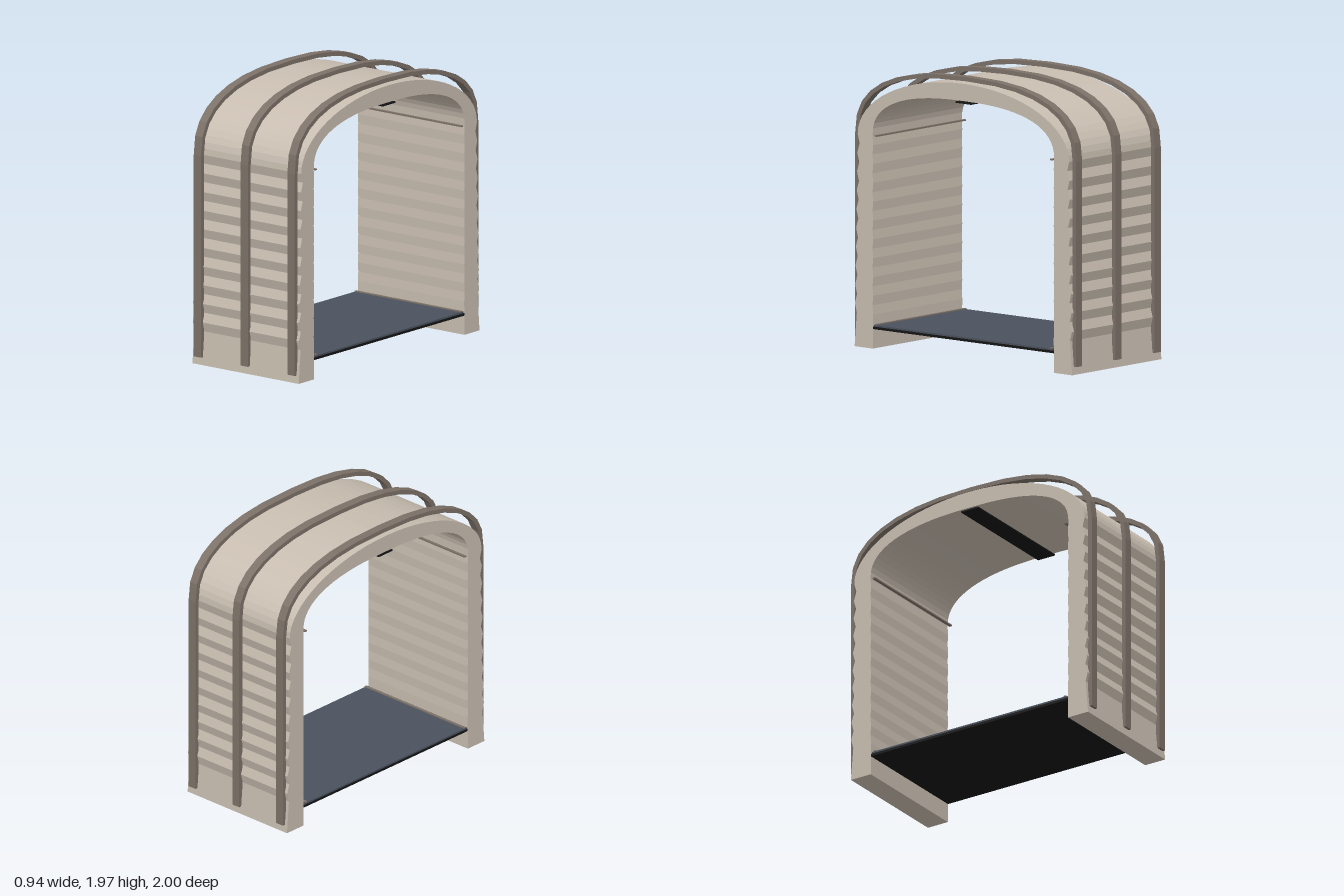
import * as THREE from 'three';

const SPRING = 1.48; // height where the walls turn into the arch
const LENGTH = 0.94;

const material = (name, color) => new THREE.MeshStandardMaterial({ name, color, flatShading: true });

// Half of a superellipse arch, from +half round to -half
function arch(half, rise, exponent, segments) {
  const points = [];
  for (let i = 0; i <= segments; i++) {
    const t = (Math.PI * i) / segments;
    const c = Math.cos(t), s = Math.max(0, Math.sin(t));
    points.push(new THREE.Vector2(
      Math.sign(c) * half * Math.abs(c) ** (2 / exponent),
      SPRING + rise * s ** (2 / exponent)));
  }
  return points;
}

const mirror = (points) => points.map((p) => new THREE.Vector2(-p.x, p.y)).reverse();

// Wall line running upwards, with shallow ridges
function ridgedWall(bottom, low, top, depth) {
  const points = [new THREE.Vector2(bottom, 0)];
  const pitch = 0.131, count = 10;
  for (let k = count - 1; k >= 0; k--) {
    const y = SPRING - k * pitch;
    const z = THREE.MathUtils.lerp(top, low, k / (count - 1));
    points.push(new THREE.Vector2(z - depth, y - pitch / 2), new THREE.Vector2(z, y));
  }
  return points;
}

// Full outline: up one wall, over the arch, down the other wall
const outline = (wall, curve) => [...wall, ...curve.slice(1, -1), ...mirror(wall)];

// Closed section between two outlines, extruded along x
function sectionMesh(name, outer, inner, width, mat) {
  const shape = new THREE.Shape([...outer, ...inner.slice().reverse()]);
  const geometry = new THREE.ExtrudeGeometry(shape, { depth: width, bevelEnabled: false });
  geometry.translate(0, 0, -width / 2).rotateY(Math.PI / 2);
  const mesh = new THREE.Mesh(geometry, mat);
  mesh.name = name;
  return mesh;
}

export function createModel() {
  const group = new THREE.Group();
  group.name = 'archedTunnel';
  const shellMat = material('warm stone', 0xc8bdb0);
  const ribMat = material('taupe metal', 0x7c7168);
  const deckMat = material('slate floor', 0x4a515d);
  const blackMat = material('black', 0x151515);

  // Thick arched shell with ridged side walls
  group.add(sectionMesh('shell',
    outline(ridgedWall(0.985, 0.982, 0.957, 0.017), arch(0.957, 0.445, 2, 32)),
    outline(ridgedWall(0.82, 0.822, 0.822, 0.004), arch(0.822, 0.325, 2.5, 32)),
    LENGTH, shellMat));

  // Three external ribs standing clear of the roof
  const foot = (z) => [new THREE.Vector2(z, 0.055), new THREE.Vector2(z, SPRING)];
  for (const x of [-0.414, 0, 0.414]) {
    const rib = sectionMesh('rib',
      outline(foot(1), arch(1, 0.49, 2.5, 16)),
      outline(foot(0.969), arch(0.969, 0.46, 2.5, 16)),
      0.065, ribMat);
    rib.position.x = x;
    group.add(rib);
  }

  const box = (name, height, depth, y, z, mat) => {
    const mesh = new THREE.Mesh(new THREE.BoxGeometry(LENGTH, height, depth), mat);
    mesh.name = name;
    mesh.position.set(0, y, z);
    group.add(mesh);
  };

  // Floor, ceiling strip and rails
  box('floorSlab', 0.018, 1.64, 0.145, 0, blackMat);
  box('floorPanel', 0.012, 1.62, 0.16, 0, deckMat);
  box('ceilingStrip', 0.01, 0.14, 1.791, 0, blackMat);
  for (const side of [-1, 1]) {
    box('floorTrim', 0.008, 0.018, 0.169, side * 0.79, ribMat);
    box('wallRail', 0.01, 0.02, 1.48, side * 0.795, ribMat);
  }
  return group;
}
